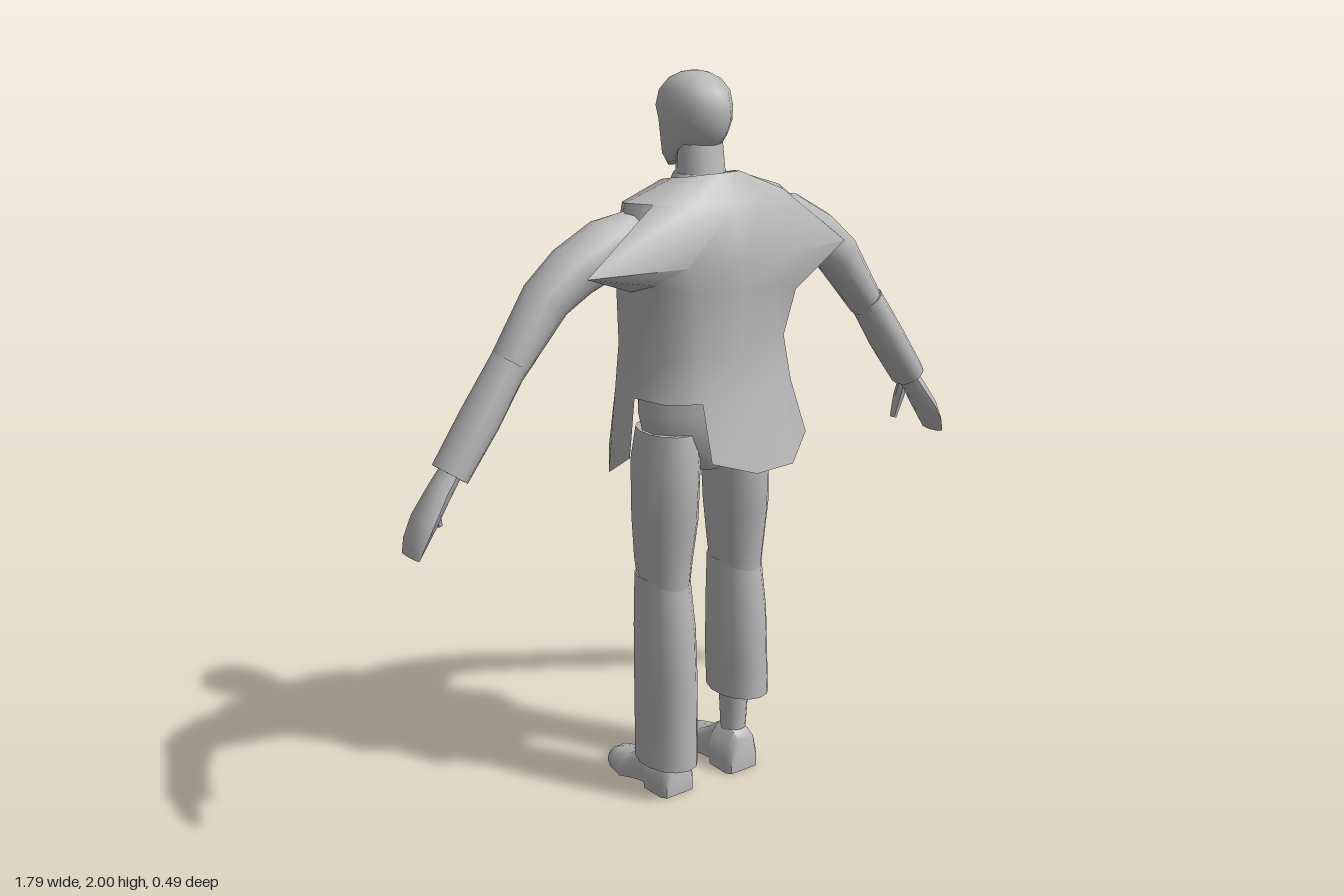
import * as THREE from 'three';
import { toCreasedNormals } from 'three/addons/utils/BufferGeometryUtils.js';

const grey = new THREE.MeshStandardMaterial({ color: 0xb8b8b8, side: THREE.DoubleSide });
grey.name = 'plain grey';

// Skin a list of equal-length rings of [x, y, z] points.
function loft(rings, { closed = true, caps = true, crease = 0.9, skip = () => false } = {}) {
  const n = rings[0].length, pos = rings.flat(2), idx = [];
  const cols = closed ? n : n - 1;
  for (let i = 0; i < rings.length - 1; i++) {
    for (let j = 0; j < cols; j++) {
      if (skip(i, j)) continue;
      const a = i * n + j, b = i * n + (j + 1) % n;
      idx.push(a, b, a + n, b, b + n, a + n);
    }
  }
  if (caps && closed) {
    const last = (rings.length - 1) * n;
    for (let j = 1; j < n - 1; j++) {
      idx.push(0, j + 1, j, last, last + j, last + j + 1);
    }
  }
  const g = new THREE.BufferGeometry();
  g.setAttribute('position', new THREE.Float32BufferAttribute(pos, 3));
  g.setIndex(idx);
  return toCreasedNormals(g, crease);
}

// Horizontal oval: half width, back z, front z, and a tilt that raises the back.
function oval(cx, y, rx, zBack, zFront, tilt = 0, n = 14) {
  return Array.from({ length: n }, (_, k) => {
    const a = (k / n) * Math.PI * 2, c = Math.cos(a);
    return [cx + rx * Math.sin(a), y + tilt * c, (zBack + zFront) / 2 + (c * (zBack - zFront)) / 2];
  });
}

// Ovals square to a path in the xy plane: [x, y, z, in-plane radius, z radius].
function limb(path, n = 12) {
  return path.map(([x, y, z, r, rz], i) => {
    const p = path[Math.max(i - 1, 0)], q = path[Math.min(i + 1, path.length - 1)];
    const l = Math.hypot(q[0] - p[0], q[1] - p[1]);
    const ux = -(q[1] - p[1]) / l, uy = (q[0] - p[0]) / l;
    return Array.from({ length: n }, (_, k) => {
      const a = (k / n) * Math.PI * 2, c = Math.cos(a) * r;
      return [x + ux * c, y + uy * c, z + Math.sin(a) * rz];
    });
  });
}

export function createModel() {
  const model = new THREE.Group();
  model.name = 'standingMan';
  const add = (name, geometry, parent = model) => {
    const m = new THREE.Mesh(geometry, grey);
    m.name = name;
    parent.add(m);
    return m;
  };

  // Head and neck; the figure looks toward -z
  add('neck', loft([
    oval(0, 1.66, 0.085, 0.09, -0.09), oval(0, 1.73, 0.066, 0.07, -0.06), oval(0, 1.83, 0.062, 0.055, -0.055),
  ]));
  add('head', loft([
    oval(0, 1.775, 0.045, 0.045, -0.118, 0.028), oval(0, 1.80, 0.066, 0.065, -0.13, 0.025),
    oval(0, 1.835, 0.077, 0.08, -0.128, 0.01), oval(0, 1.875, 0.087, 0.09, -0.126),
    oval(0, 1.91, 0.091, 0.092, -0.137), oval(0, 1.95, 0.084, 0.083, -0.125),
    oval(0, 1.98, 0.063, 0.055, -0.095), oval(0, 1.995, 0.035, 0.02, -0.06), oval(0, 2, 0.01, -0.01, -0.03),
  ], { crease: 1.1 }));
  add('nose', loft([
    [[-0.008, 1.895, -0.115], [0, 1.895, -0.132], [0.008, 1.895, -0.115]],
    [[-0.019, 1.835, -0.115], [0, 1.832, -0.163], [0.019, 1.835, -0.115]],
    [[-0.012, 1.822, -0.115], [0, 1.822, -0.14], [0.012, 1.822, -0.115]],
  ]));

  // Shirt and trouser seat
  add('shirt', loft([
    oval(0, 1.19, 0.175, 0.13, -0.14), oval(0, 1.32, 0.178, 0.14, -0.148), oval(0, 1.5, 0.185, 0.15, -0.14),
    oval(0, 1.62, 0.16, 0.13, -0.11), oval(0, 1.7, 0.095, 0.1, -0.08), oval(0, 1.745, 0.07, 0.07, -0.065),
  ]));
  add('trouserSeat', loft([
    oval(0, 0.95, 0.05, 0.07, -0.07), oval(0, 1.03, 0.17, 0.115, -0.11),
    oval(0, 1.12, 0.188, 0.125, -0.125), oval(0, 1.21, 0.18, 0.13, -0.138),
  ]));

  // Open jacket: half rows run from the middle of the back to the front edge
  const halfRows = [
    [[0, 1.75, 0.09], [0.05, 1.75, 0.085], [0.085, 1.745, 0.06], [0.1, 1.74, 0.02], [0.1, 1.73, -0.03], [0.085, 1.70, -0.075]],
    [[0, 1.68, 0.155], [0.12, 1.685, 0.135], [0.21, 1.69, 0.085], [0.25, 1.69, 0.02], [0.21, 1.68, -0.05], [0.105, 1.62, -0.12]],
    [[0, 1.53, 0.18], [0.16, 1.535, 0.165], [0.42, 1.53, 0.1], [0.25, 1.54, 0.01], [0.22, 1.54, -0.08], [0.115, 1.53, -0.145]],
    [[0, 1.46, 0.182], [0.13, 1.46, 0.165], [0.225, 1.49, 0.11], [0.235, 1.46, 0.02], [0.205, 1.46, -0.09], [0.12, 1.46, -0.153]],
    [[0, 1.3, 0.182], [0.12, 1.3, 0.165], [0.2, 1.3, 0.11], [0.22, 1.3, 0.02], [0.2, 1.3, -0.09], [0.125, 1.3, -0.16]],
    [[0, 1.18, 0.205], [0.13, 1.18, 0.185], [0.21, 1.18, 0.13], [0.235, 1.18, 0.03], [0.22, 1.18, -0.08], [0.14, 1.18, -0.16]],
    [[0, 0.985, 0.25], [0.13, 0.985, 0.24], [0.25, 1.03, 0.15], [0.252, 1.02, 0.03], [0.245, 1.02, -0.08], [0.205, 1.01, -0.135]],
  ];
  const rows = halfRows.map((r) => [...r.slice(1).reverse().map(([x, y, z]) => [-x, y, z]), ...r]);
  rows[3][7] = [0.24, 1.42, 0.11]; // lower armhole on one side
  rows[6][1] = [-0.245, 0.95, -0.08]; // torn front corner
  rows[6][4] = [-0.13, 1.03, 0.225];
  add('jacket', loft(rows, { closed: false, skip: (i, j) => i === 5 && (j === 2 || j === 3) }));

  // Arms with separate sleeves and hands
  for (const side of [1, -1]) {
    const arm = new THREE.Group();
    arm.name = side > 0 ? 'leftArm' : 'rightArm';
    model.add(arm);
    const s = (path, n) => loft(limb(path.map(([x, ...r]) => [side * x, ...r]), n));
    add('upperSleeve', s([
      [0.2, 1.6, 0.01, 0.075, 0.06], [0.3, 1.58, 0.005, 0.078, 0.07], [0.4, 1.53, 0, 0.072, 0.068],
      [0.48, 1.47, 0, 0.064, 0.062], [0.6, 1.31, 0, 0.047, 0.055],
    ]), arm);
    add('lowerSleeve', s([
      [0.59, 1.33, 0.003, 0.046, 0.056], [0.68, 1.2, 0.003, 0.05, 0.06], [0.77, 1.075, 0.003, 0.047, 0.056],
    ]), arm);
    add('hand', s([
      [0.755, 1.095, 0, 0.026, 0.034], [0.8, 1.035, 0, 0.028, 0.04], [0.845, 0.97, 0, 0.026, 0.052],
      [0.873, 0.92, 0, 0.019, 0.052], [0.886, 0.885, 0, 0.012, 0.044],
    ], 8), arm);
    add('thumb', s([
      [0.79, 1.05, -0.03, 0.016, 0.018], [0.79, 0.99, -0.05, 0.015, 0.018], [0.775, 0.925, -0.055, 0.009, 0.011],
    ], 6), arm);
  }

  // Legs: one trouser leg is shorter and shows the ankle
  for (const side of [1, -1]) {
    const leg = new THREE.Group();
    leg.name = side > 0 ? 'leftLeg' : 'rightLeg';
    model.add(leg);
    const cx = side * 0.125, hem = side > 0 ? 0.25 : 0.1;
    add('thigh', loft([
      oval(side * 0.11, 1.07, 0.075, 0.1, -0.1), oval(side * 0.118, 0.98, 0.083, 0.118, -0.11),
      oval(side * 0.122, 0.82, 0.083, 0.11, -0.1), oval(cx, 0.7, 0.074, 0.092, -0.09),
      oval(cx, 0.635, 0.066, 0.085, -0.085, -0.018),
    ]), leg);
    add('trouserLeg', loft([
      oval(cx, 0.655, 0.07, 0.082, -0.092), oval(cx, 0.5, 0.076, 0.108, -0.098),
      oval(cx, 0.35, 0.078, 0.115, -0.098), oval(side * 0.127, hem, 0.078, 0.118, -0.095),
    ]), leg);
    add('ankle', loft([
      oval(side * 0.122, 0.3, 0.046, 0.05, -0.045), oval(side * 0.12, 0.1, 0.034, 0.04, -0.035),
    ]), leg);

    // Shoe sections run heel to toe: z, centre x, half width, sole y, top y
    const shoe = [
      [0.06, 0.116, 0.045, 0, 0.1], [0.045, 0.116, 0.056, 0, 0.122], [-0.03, 0.118, 0.058, 0, 0.128],
      [-0.032, 0.118, 0.058, 0.018, 0.127], [-0.08, 0.122, 0.06, 0.012, 0.09], [-0.13, 0.126, 0.066, 0, 0.062],
      [-0.19, 0.126, 0.056, 0, 0.048], [-0.225, 0.123, 0.044, 0, 0.038], [-0.243, 0.121, 0.03, 0.004, 0.024],
    ];
    const outline = [[-1, 0], [-1, 0.35], [-0.8, 0.75], [-0.45, 1], [0.45, 1], [0.8, 0.75], [1, 0.35], [1, 0]];
    add('shoe', loft(shoe.map(([z, x, w, lo, hi]) =>
      outline.map(([u, v]) => [side * x + u * w, lo + v * (hi - lo), z]))), leg);
  }
  return model;
}
